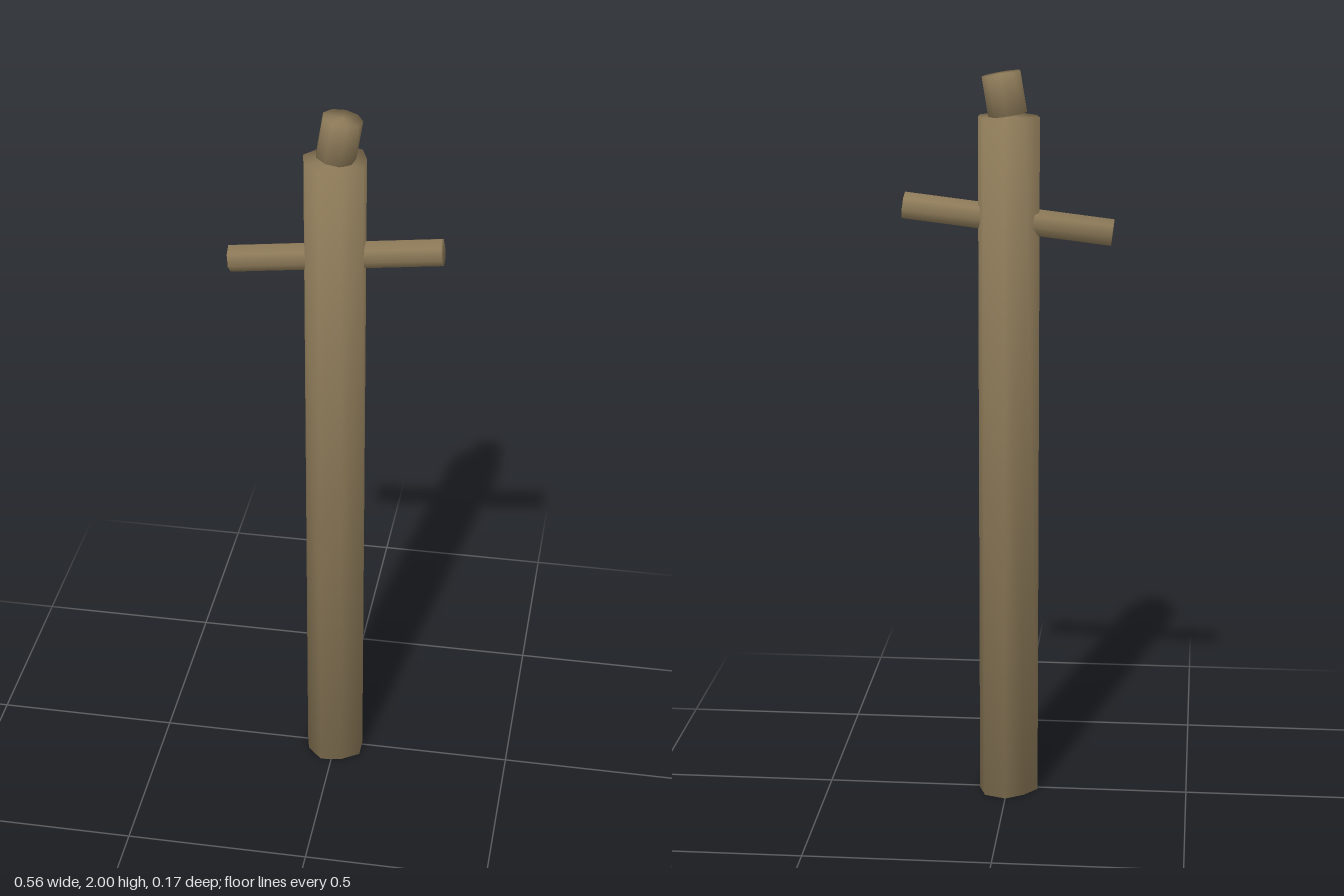
import * as THREE from 'three';

// Hewn length of wood: an outline of [x, z] corners (clockwise from above) raised
// from y = 0, with normals rounded softly over the end rims.
function hewnGeometry(outline, height) {
  const n = outline.length;
  const positions = [], normals = [], index = [];
  for (const [y, tilt] of [[0, -0.45], [height, 0.45]]) {
    for (const [x, z] of outline) {
      positions.push(x, y, z);
      const r = Math.hypot(x, z);
      const v = new THREE.Vector3(x / r, tilt, z / r).normalize();
      normals.push(v.x, v.y, v.z);
    }
  }
  // cap centres
  positions.push(0, 0, 0, 0, height, 0);
  normals.push(0, -1, 0, 0, 1, 0);
  for (let i = 0; i < n; i++) {
    const j = (i + 1) % n;
    index.push(i, n + i, n + j, i, n + j, j); // side
    index.push(2 * n, i, j, 2 * n + 1, n + j, n + i); // caps
  }
  const geometry = new THREE.BufferGeometry();
  geometry.setAttribute('position', new THREE.Float32BufferAttribute(positions, 3));
  geometry.setAttribute('normal', new THREE.Float32BufferAttribute(normals, 3));
  geometry.setIndex(index);
  return geometry;
}

// Regular outline with a corner at the given start angle
function ring(sides, radius, start = 0) {
  return Array.from({ length: sides }, (_, i) => {
    const a = start + (i / sides) * Math.PI * 2;
    return [Math.sin(a) * radius, -Math.cos(a) * radius];
  });
}

export function createModel() {
  const model = new THREE.Group();
  model.name = 'woodenPost';
  const wood = new THREE.MeshStandardMaterial({ color: 0x8f7c5a });
  wood.name = 'weathered wood';

  function add(name, outline, height, x, y, tilt) {
    const mesh = new THREE.Mesh(hewnGeometry(outline, height), wood);
    mesh.name = name;
    mesh.position.set(x, y, 0);
    mesh.rotation.z = THREE.MathUtils.degToRad(tilt);
    model.add(mesh);
  }

  // Main post with an uneven nine-sided section
  const postOutline = [
    [0, -0.087], [0.058, -0.066], [0.077, -0.012], [0.077, 0.045], [0.028, 0.077],
    [-0.03, 0.085], [-0.073, 0.04], [-0.085, -0.012], [-0.05, -0.057],
  ];
  add('post', postOutline, 1.88, 0, 0, 0);

  // Slanted peg running right through the post
  add('crossPeg', ring(7, 0.036, -Math.PI / 2), 0.557, -0.277, 1.578, -83.2);

  // Leaning stub on the top
  add('topStub', ring(9, 0.052), 0.108, -0.001, 1.885, -9.5);

  return model;
}
